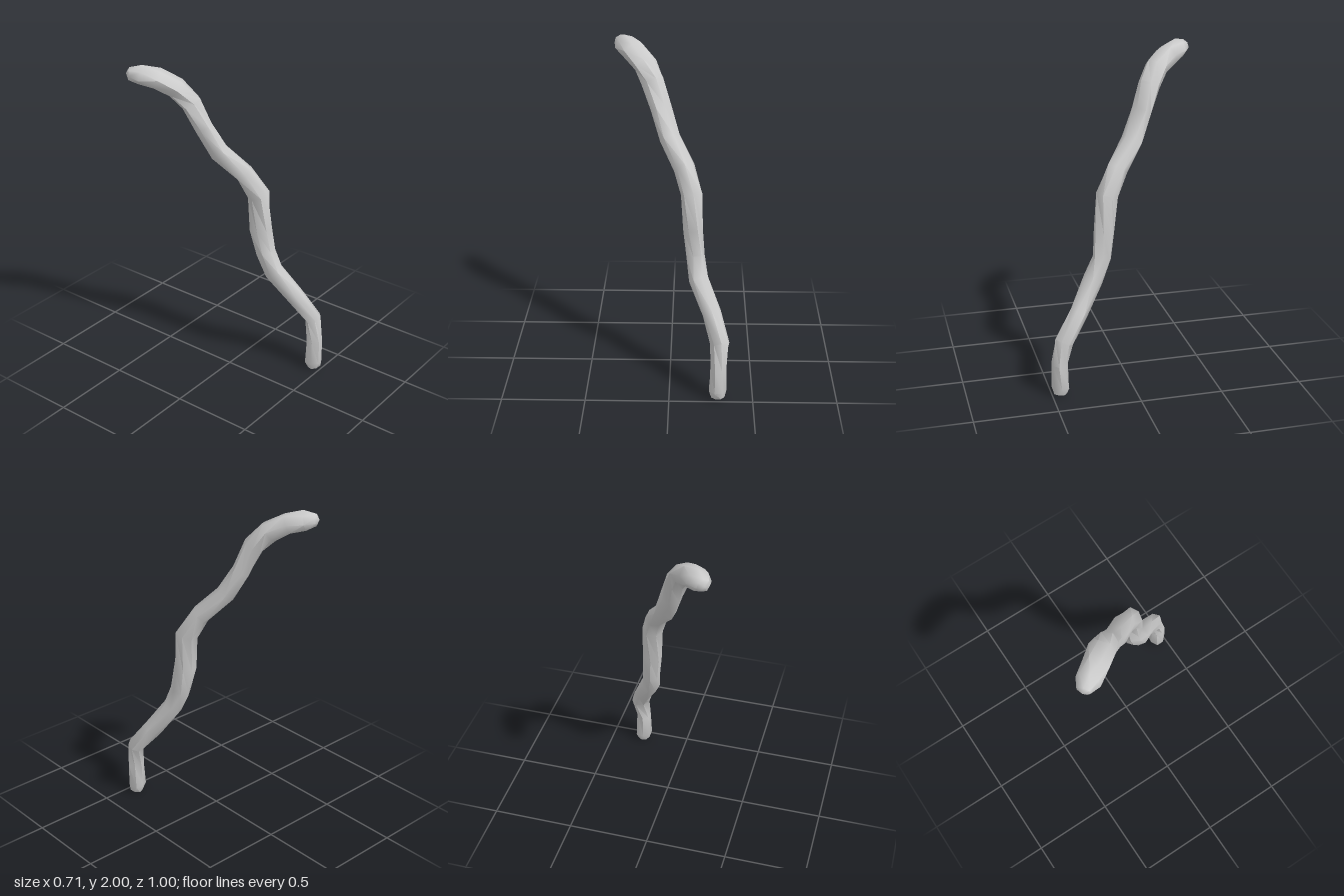
import * as THREE from 'three';
import { toCreasedNormals } from 'three/addons/utils/BufferGeometryUtils.js';

// Cross-sections from foot to tip: x, y, z, half width sideways, half depth in the bend plane
const SECTIONS = [
  [0.295, 0.005, 0.45, 0.038, 0.04],
  [0.29, 0.05, 0.445, 0.055, 0.052],
  [0.29, 0.2, 0.45, 0.045, 0.05],
  [0.303, 0.35, 0.425, 0.057, 0.052],
  [0.25, 0.5, 0.32, 0.056, 0.056],
  [0.17, 0.67, 0.215, 0.056, 0.06],
  [0.152, 0.8, 0.155, 0.053, 0.06],
  [0.135, 0.96, 0.135, 0.058, 0.066],
  [0.128, 1.18, 0.12, 0.064, 0.066],
  [0.083, 1.32, 0.045, 0.064, 0.057],
  [-0.005, 1.46, -0.07, 0.067, 0.056],
  [-0.062, 1.62, -0.146, 0.064, 0.054],
  [-0.107, 1.77, -0.2, 0.07, 0.06],
  [-0.16, 1.86, -0.262, 0.074, 0.061],
  [-0.228, 1.915, -0.345, 0.075, 0.06],
  [-0.285, 1.943, -0.425, 0.068, 0.057],
  [-0.322, 1.948, -0.476, 0.038, 0.036],
];
const SIDES = 7;

function stickGeometry() {
  const centres = SECTIONS.map(([x, y, z]) => new THREE.Vector3(x, y, z));
  const last = centres.length - 1;
  const across = new THREE.Vector3(0.83, 0, -0.56).normalize();
  const positions = [];
  const index = [];

  // Uneven rings, set square to the bent path and slowly twisting
  centres.forEach((c, i) => {
    const tangent = centres[Math.min(i + 1, last)].clone()
      .sub(centres[Math.max(i - 1, 0)]).normalize();
    const side = across.clone().addScaledVector(tangent, -across.dot(tangent)).normalize();
    const depth = tangent.clone().cross(side);
    const [, , , w, d] = SECTIONS[i];
    for (let j = 0; j < SIDES; j++) {
      const a = (j / SIDES) * Math.PI * 2 + 0.25 * Math.sin(i * 1.3);
      const r = 1.03 + 0.06 * Math.sin(i * 2.1 + j * 2.7);
      const p = c.clone()
        .addScaledVector(side, Math.cos(a) * w * r)
        .addScaledVector(depth, Math.sin(a) * d * r);
      positions.push(p.x, Math.min(2, Math.max(0, p.y)), p.z);
    }
  });

  // Bark faces between neighbouring rings
  for (let i = 0; i < last; i++) {
    for (let j = 0; j < SIDES; j++) {
      const k = (j + 1) % SIDES;
      const a = i * SIDES + j, b = i * SIDES + k;
      const c = a + SIDES, d = b + SIDES;
      index.push(a, b, c, b, d, c);
    }
  }

  // End caps
  const foot = positions.length / 3;
  positions.push(0.295, 0, 0.45, -0.332, 1.95, -0.49);
  for (let j = 0; j < SIDES; j++) {
    const k = (j + 1) % SIDES;
    index.push(foot, k, j, foot + 1, last * SIDES + j, last * SIDES + k);
  }

  const g = new THREE.BufferGeometry();
  g.setAttribute('position', new THREE.Float32BufferAttribute(positions, 3));
  g.setIndex(index);
  return toCreasedNormals(g, 1.0);
}

export function createModel() {
  const group = new THREE.Group();
  group.name = 'crookedStick';
  const stick = new THREE.Mesh(
    stickGeometry(),
    new THREE.MeshStandardMaterial({ color: 0xcccccc }),
  );
  stick.name = 'stick';
  group.add(stick);
  return group;
}
